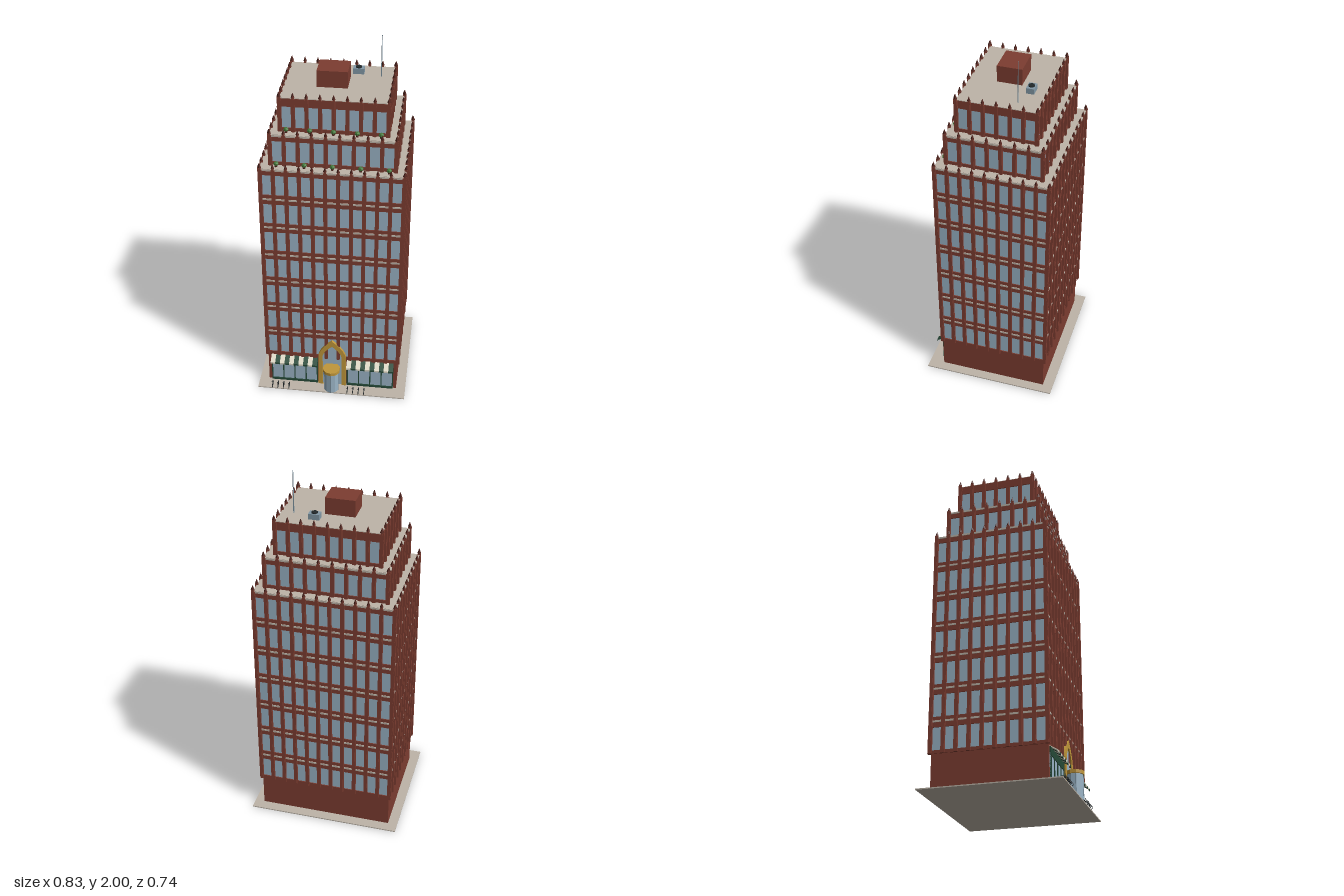
import * as THREE from 'three';
import { mergeGeometries } from 'three/addons/utils/BufferGeometryUtils.js';

const colour = (name, hex) => {
  const m = new THREE.MeshStandardMaterial({ color: hex, flatShading: true });
  m.name = name;
  return m;
};

// Box given by its bounds
const block = (x0, x1, y0, y1, z0, z1) =>
  new THREE.BoxGeometry(x1 - x0, y1 - y0, z1 - z0).translate((x0 + x1) / 2, (y0 + y1) / 2, (z0 + z1) / 2);

export function createModel() {
  const brick = colour('brick', 0x7d3d31);
  const darkBrick = colour('dark brick', 0x55261f);
  const stone = colour('stone', 0xbdb4a8);
  const glass = colour('glass', 0x9ab4c6);
  const gold = colour('gold', 0xc0963a);
  const green = colour('dark green', 0x264a38);
  const leaf = colour('leaf green', 0x44783a);
  const cream = colour('cream', 0xded8c6);
  const black = colour('black', 0x22282a);
  const steel = colour('steel', 0x8298a6);

  const model = new THREE.Group();
  model.name = 'tower';
  const add = (name, material, geos, parent = model) => {
    const list = [].concat(geos).map(g => (g.index ? g.toNonIndexed() : g));
    const mesh = new THREE.Mesh(list.length > 1 ? mergeGeometries(list) : list[0], material);
    mesh.name = name;
    parent.add(mesh);
    return mesh;
  };
  const cz = -0.022;

  // Pavement and ground floor
  add('pavement', stone, block(-0.417, 0.417, 0, 0.006, -0.372, 0.36));
  add('groundFloor', brick, block(-0.365, 0.365, 0.006, 0.19, -0.316, 0.279));

  // One stepped tier: glass core, floor bands, piers and pointed finials
  function tier(name, hx, hz, y0, y1, floors, baysX, baysZ, band) {
    const g = new THREE.Group();
    g.name = name;
    const ring = (a, b, grow) => block(-hx - grow, hx + grow, a, b, cz - hz - grow, cz + hz + grow);
    add('windows', glass, ring(y0 + 0.002, y1 - 0.01, -0.004), g);
    const spandrels = [], bands = [], piers = [], finials = [];
    const pitch = (y1 - y0) / floors;
    for (let f = 0; f < floors; f++) {
      const y = y0 + f * pitch;
      spandrels.push(ring(y, y + 0.018, 0.001), ring(y + 0.137, y + pitch - (f === floors - 1 ? 0.003 : 0), 0.001));
      if (band) bands.push(ring(y + 0.163, y + 0.173, 0.004));
    }
    const pier = (x, z, alongX) => {
      const put = (w, d, a, b) => alongX
        ? block(x - w, x + w, a, b, z - d, z + d)
        : block(x - d, x + d, a, b, z - w, z + w);
      piers.push(put(0.010, 0.006, y0, y1 - 0.003), put(0.006, 0.008, y0, y1 + 0.008));
      finials.push(new THREE.ConeGeometry(0.0095, 0.027, 4).translate(x, y1 + 0.0205, z));
    };
    for (let i = 0; i <= baysX; i++)
      for (const s of [-1, 1]) pier(-hx + 2 * hx * i / baysX, cz + s * (hz + 0.003), true);
    for (let i = 0; i <= baysZ; i++)
      for (const s of [-1, 1]) pier(s * (hx + 0.003), cz - hz + 2 * hz * i / baysZ, false);
    add('spandrels', brick, spandrels, g);
    if (band) add('stoneBands', stone, bands, g);
    add('piers', brick, piers, g);
    add('finials', darkBrick, finials, g);
    add('roofDeck', stone, ring(y1 - 0.006, y1, 0), g);
    model.add(g);
  }
  tier('mainTier', 0.368, 0.300, 0.19, 1.41, 7, 11, 9, true);
  tier('middleTier', 0.320, 0.252, 1.41, 1.585, 1, 9, 7, true);
  tier('topTier', 0.273, 0.207, 1.585, 1.77, 1, 8, 6, false);

  // Rooftop: penthouse, cooling unit with fan, aerial
  add('penthouse', brick, block(-0.105, 0.053, 1.77, 1.86, -0.087, 0.045));
  add('coolingUnit', steel, block(0.06, 0.118, 1.77, 1.8, -0.167, -0.125));
  add('coolingFan', black, new THREE.CylinderGeometry(0.016, 0.016, 0.006, 14).translate(0.089, 1.803, -0.146));
  add('aerial', steel, new THREE.CylinderGeometry(0.002, 0.003, 0.23, 6).translate(0.208, 1.885, -0.112));

  // Terrace shrubs in pots
  const shrubs = [], pots = [];
  for (const [y, z, step] of [[1.41, 0.249, 0.144], [1.585, 0.202, 0.12]])
    for (let i = -2; i <= 2; i++) {
      pots.push(new THREE.CylinderGeometry(0.009, 0.007, 0.01, 6).translate(i * step, y + 0.005, z));
      shrubs.push(new THREE.IcosahedronGeometry(0.015, 0).scale(1, 0.85, 1).translate(i * step, y + 0.018, z));
    }
  add('terraceShrubs', leaf, shrubs);
  add('shrubPots', darkBrick, pots);

  // Entrance: pointed arch with glazing
  const pointed = (P, w, spring, top) => {
    P.moveTo(-w, 0.006);
    P.lineTo(w, 0.006);
    P.lineTo(w, spring);
    P.quadraticCurveTo(w * 0.85, spring + (top - spring) * 0.5, 0, top);
    P.quadraticCurveTo(-w * 0.85, spring + (top - spring) * 0.5, -w, spring);
    P.closePath();
    return P;
  };
  const archShape = pointed(new THREE.Shape(), 0.078, 0.215, 0.322);
  archShape.holes.push(pointed(new THREE.Path(), 0.054, 0.212, 0.285));
  add('entranceArch', gold, new THREE.ExtrudeGeometry(archShape, { depth: 0.015, bevelEnabled: false, curveSegments: 5 }).translate(0, 0, 0.278));
  add('archGlass', glass, new THREE.ExtrudeGeometry(pointed(new THREE.Shape(), 0.058, 0.212, 0.29),
    { depth: 0.006, bevelEnabled: false, curveSegments: 5 }).translate(0, 0, 0.279));

  // Revolving door drum with gold cap and bars
  const dz = 0.322;
  add('revolvingDoor', glass, new THREE.CylinderGeometry(0.042, 0.042, 0.13, 10).translate(0, 0.071, dz));
  add('doorCap', gold, new THREE.CylinderGeometry(0.049, 0.049, 0.018, 10).translate(0, 0.145, dz));
  const bars = [];
  for (let i = 0; i < 10; i += 2) {
    const a = i * Math.PI / 5;
    bars.push(new THREE.CylinderGeometry(0.002, 0.002, 0.13, 5).translate(Math.sin(a) * 0.042, 0.071, dz + Math.cos(a) * 0.042));
  }
  add('doorBars', steel, bars);

  // Shop fronts with striped awnings
  const stripe = (x0, w) => {
    const s = new THREE.Shape();
    [[0.279, 0.187], [0.322, 0.161], [0.322, 0.15], [0.319, 0.15], [0.319, 0.158], [0.279, 0.182]]
      .forEach(([z, y], i) => (i ? s.lineTo(-z, y) : s.moveTo(-z, y)));
    return new THREE.ExtrudeGeometry(s, { depth: w, bevelEnabled: false }).rotateY(Math.PI / 2).translate(x0, 0, 0);
  };
  for (const [name, x0] of [['left', 0.083], ['right', -0.347]]) {
    const g = new THREE.Group();
    g.name = name + 'Shop';
    const w = 0.264, x1 = x0 + w;
    add('shopGlass', glass, block(x0, x1, 0.008, 0.15, 0.277, 0.283), g);
    const frame = [block(x0, x1, 0.006, 0.02, 0.278, 0.288), block(x0, x1, 0.138, 0.182, 0.278, 0.287)];
    for (let i = 0; i <= 4; i++) {
      const x = x0 + 0.003 + (w - 0.006) * i / 4;
      frame.push(block(x - 0.003, x + 0.003, 0.006, 0.15, 0.278, 0.288));
    }
    add('shopFrame', green, frame, g);
    const stripes = [[], []];
    for (let i = 0; i < 10; i++) stripes[i % 2].push(stripe(x0 + i * w / 10, w / 10));
    add('awningCream', cream, stripes[0], g);
    add('awningGreen', green, stripes[1], g);
    model.add(g);
  }

  // Parked bicycles: two wheels, frame, saddle and handlebar
  const rod = (x, y0, z0, y1, z1) => new THREE.TubeGeometry(
    new THREE.LineCurve3(new THREE.Vector3(x, y0, z0), new THREE.Vector3(x, y1, z1)), 1, 0.0012, 4);
  const bikes = [];
  for (const start of [-0.335, 0.093])
    for (let i = 0; i < 4; i++) {
      const x = start + i * 0.0315;
      for (const z of [0.332, 0.357])
        bikes.push(new THREE.TorusGeometry(0.0095, 0.0014, 4, 12).rotateY(Math.PI / 2).translate(x, 0.017, z));
      bikes.push(rod(x, 0.017, 0.332, 0.034, 0.338), rod(x, 0.017, 0.357, 0.04, 0.352),
        rod(x, 0.03, 0.337, 0.032, 0.353), rod(x, 0.03, 0.354, 0.016, 0.344), rod(x, 0.016, 0.344, 0.034, 0.338),
        block(x - 0.002, x + 0.002, 0.034, 0.037, 0.334, 0.342), block(x - 0.005, x + 0.005, 0.039, 0.041, 0.351, 0.353));
    }
  add('bicycles', black, bikes);

  return model;
}
